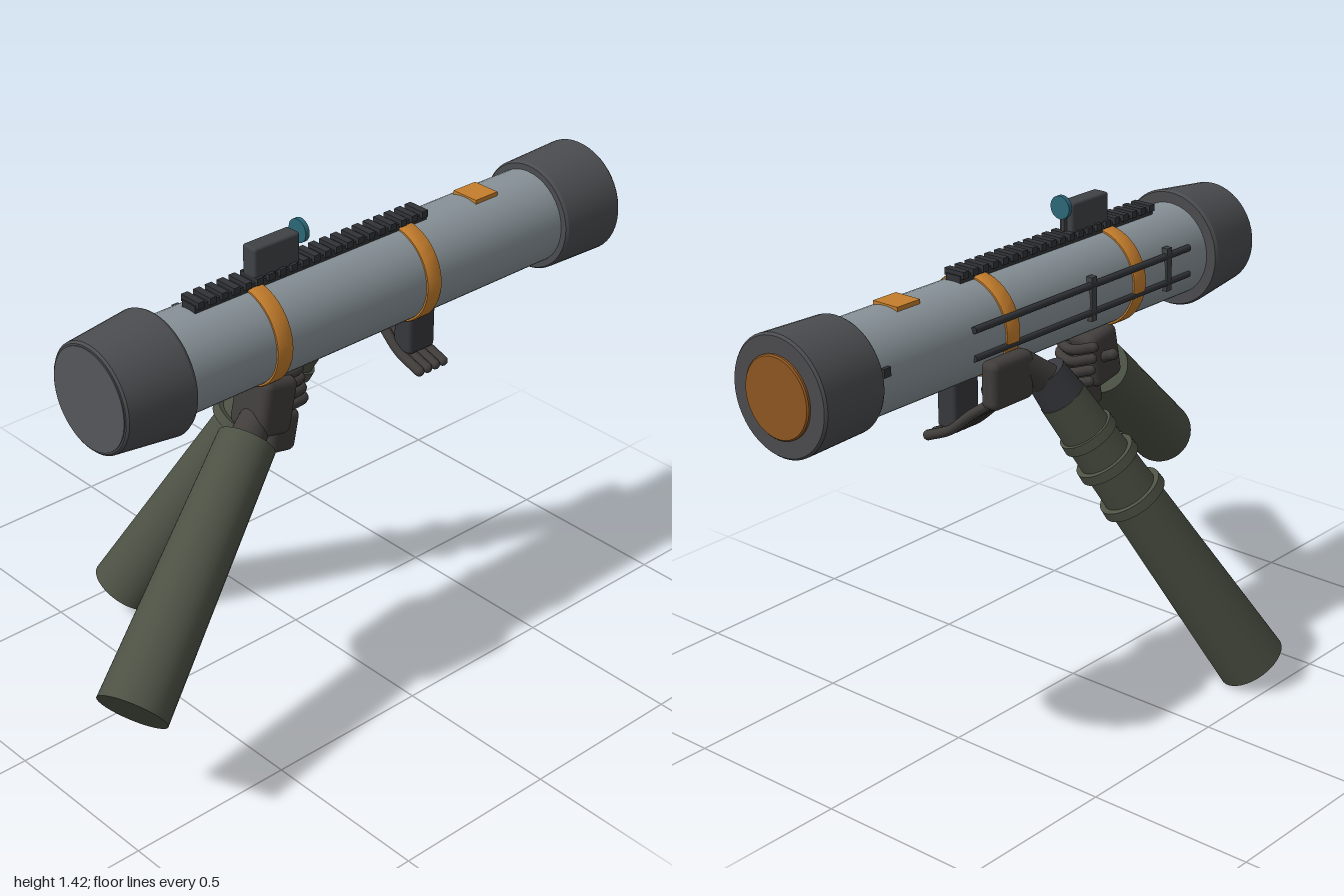
import * as THREE from 'three';
import { toCreasedNormals } from 'three/addons/utils/BufferGeometryUtils.js';
import { RoundedBoxGeometry } from 'three/addons/geometries/RoundedBoxGeometry.js';

const mat = (color) => new THREE.MeshStandardMaterial({ color });
const V = (x, y, z) => new THREE.Vector3(x, y, z);

export function createModel() {
  const root = new THREE.Group();
  const M = {
    tube: mat(0x879197), cap: mat(0x4b4c4f), face: mat(0x55575a), orange: mat(0xc47d2c),
    rear: mat(0x8f5620), rail: mat(0x303236), sight: mat(0x3f4245), lens: mat(0x2c6878),
    sleeve: mat(0x4c5144), cuff: mat(0x37383d), glove: mat(0x403d3b),
  };
  const AX = 0.135, AY = 1.14; // launcher axis

  const add = (name, geo, m, x = 0, y = 0, z = 0, parent = root) => {
    const mesh = new THREE.Mesh(geo, m);
    mesh.name = name;
    mesh.position.set(x, y, z);
    parent.add(mesh);
    return mesh;
  };
  const box = (name, w, h, d, m, x, y, z, parent) =>
    add(name, new THREE.BoxGeometry(w, h, d), m, x, y, z, parent);
  const pad = (name, w, h, d, r, m, x, y, z) =>
    add(name, new RoundedBoxGeometry(w, h, d, 3, r), m, x, y, z);
  // Turned part around the launcher axis, from [radius, z] points
  const turned = (name, pts, m) => {
    const geo = new THREE.LatheGeometry(pts.map(([r, z]) => new THREE.Vector2(r, z)), 48);
    const mesh = add(name, toCreasedNormals(geo, 0.5), m, AX, AY, 0);
    mesh.rotation.x = Math.PI / 2;
    return mesh;
  };
  // Tapered cylinder between two points
  const limb = (name, a, b, ra, rb, m, parent = root) => {
    const dir = b.clone().sub(a);
    const mesh = add(name, new THREE.CylinderGeometry(rb, ra, dir.length(), 32), m, 0, 0, 0, parent);
    mesh.position.copy(a).add(b).multiplyScalar(0.5);
    mesh.quaternion.setFromUnitVectors(V(0, 1, 0), dir.normalize());
    return mesh;
  };
  // Finger with round ends along a curve
  const finger = (name, pts, r) => {
    const g = new THREE.Group();
    g.name = name;
    add('fingerBend', new THREE.TubeGeometry(new THREE.CatmullRomCurve3(pts), 14, r, 10), M.glove, 0, 0, 0, g);
    for (const p of [pts[0], pts[pts.length - 1]])
      add('fingerEnd', new THREE.SphereGeometry(r, 12, 8), M.glove, p.x, p.y, p.z, g);
    root.add(g);
  };

  // Launch tube with its end caps
  turned('launchTube', [[0.14, -0.8], [0.14, 0.64]], M.tube);
  turned('frontCap', [[0, 0.605], [0.172, 0.605], [0.177, 0.615], [0.155, 0.812], [0.149, 0.818], [0, 0.818]], M.cap);
  turned('frontCover', [[0.144, 0.816], [0.144, 0.821], [0, 0.821]], M.face);
  turned('rearCap', [[0, -0.99], [0.163, -0.99], [0.169, -0.983], [0.163, -0.78], [0.158, -0.772], [0, -0.772]], M.cap);
  turned('rearCover', [[0, -1], [0.111, -1], [0.115, -0.996], [0.115, -0.98]], M.rear);
  for (const z of [0.285, -0.26])
    turned('band', [[0.138, z - 0.026], [0.145, z - 0.026], [0.148, z - 0.02], [0.148, z + 0.02], [0.145, z + 0.026], [0.138, z + 0.026]], M.orange);
  box('topLabel', 0.088, 0.016, 0.086, M.orange, AX, 1.277, -0.558);

  // Toothed rail on top
  const rail = new THREE.Group();
  rail.name = 'topRail';
  root.add(rail);
  box('railBase', 0.052, 0.022, 0.83, M.rail, AX, 1.287, 0.075, rail);
  for (let i = 0; i < 21; i++)
    box('railTooth', 0.07, 0.02, 0.022, M.rail, AX, 1.3, 0.475 - i * 0.04, rail);

  // Sight and round lens
  pad('sightBody', 0.052, 0.09, 0.158, 0.008, M.sight, AX, 1.347, 0.207);
  box('sightFoot', 0.04, 0.025, 0.12, M.sight, AX, 1.308, 0.19);
  const lens = add('sightLens', new THREE.CylinderGeometry(0.034, 0.034, 0.014, 24), M.lens, AX, 1.382, 0.109);
  lens.rotation.x = Math.PI / 2;
  box('lensStem', 0.012, 0.06, 0.012, M.sight, AX, 1.33, 0.12);

  // Side rods and their brackets
  for (const y of [1.19, 1.11])
    limb('sideRod', V(-0.002, y, -0.41), V(-0.002, y, 0.52), 0.01, 0.01, M.rail);
  for (const z of [0.08, 0.42])
    box('rodBracket', 0.02, 0.13, 0.022, M.sight, 0, 1.15, z);
  box('rearStud', 0.02, 0.025, 0.025, M.rail, 0, 1.17, -0.745);

  // Rear grip, right hand and fingers
  pad('rearGrip', 0.07, 0.16, 0.1, 0.012, M.cuff, 0.13, 0.945, -0.335);
  pad('rightPalm', 0.06, 0.14, 0.165, 0.022, M.glove, -0.03, 1.03, -0.31);
  for (let i = 0; i < 4; i++) {
    const z = -0.285 - i * 0.031;
    finger('rightFinger', [V(-0.03, 0.98, z + 0.01), V(0.04, 0.93, z), V(0.12, 0.865, z), V(0.2, 0.83, z - 0.005)], 0.015);
  }
  finger('rightThumb', [V(-0.03, 1.02, -0.25), V(0.02, 0.975, -0.23), V(0.08, 0.96, -0.27)], 0.018);

  // Right arm: wrist, cuff, sleeve and fold rings
  const rTop = V(-0.04, 1.0, -0.16), rEnd = V(-0.415, 0.056, 0.318);
  const along = (t) => rTop.clone().lerp(rEnd, t);
  limb('rightWrist', V(-0.02, 1.06, -0.25), along(0.03), 0.04, 0.05, M.glove);
  limb('rightCuff', along(-0.01), along(0.09), 0.06, 0.069, M.cuff);
  limb('rightSleeve', along(0.07), rEnd, 0.069, 0.103, M.sleeve);
  [[0.19, 0.082], [0.28, 0.091], [0.4, 0.097]].forEach(([t, r]) =>
    limb('sleeveFold', along(t - 0.013), along(t + 0.013), r, r + 0.002, M.sleeve));

  // Left hand holding the front grip
  const palm = pad('leftPalm', 0.14, 0.17, 0.12, 0.025, M.glove, 0.138, 0.915, 0.24);
  palm.rotation.x = -0.2;
  const heel = pad('leftHeel', 0.09, 0.125, 0.1, 0.022, M.glove, 0.14, 0.815, 0.2);
  heel.rotation.x = -0.2;
  for (let i = 0; i < 4; i++) {
    const y = 0.985 - i * 0.033, z = 0.125 - i * 0.006;
    finger('leftFinger', [V(0.17, y, z + 0.08), V(0.15, y - 0.01, z), V(0.1, y - 0.02, z - 0.015), V(0.055, y - 0.015, z + 0.03)], 0.015);
  }
  finger('leftThumb', [V(0.11, 0.9, 0.23), V(0.06, 0.925, 0.22), V(0.02, 0.945, 0.2)], 0.017);

  // Left arm
  limb('leftWrist', V(0.145, 0.88, 0.27), V(0.185, 0.82, 0.36), 0.045, 0.055, M.glove);
  limb('leftSleeve', V(0.172, 0.835, 0.33), V(0.413, 0.372, 0.935), 0.083, 0.101, M.sleeve);

  return root;
}
